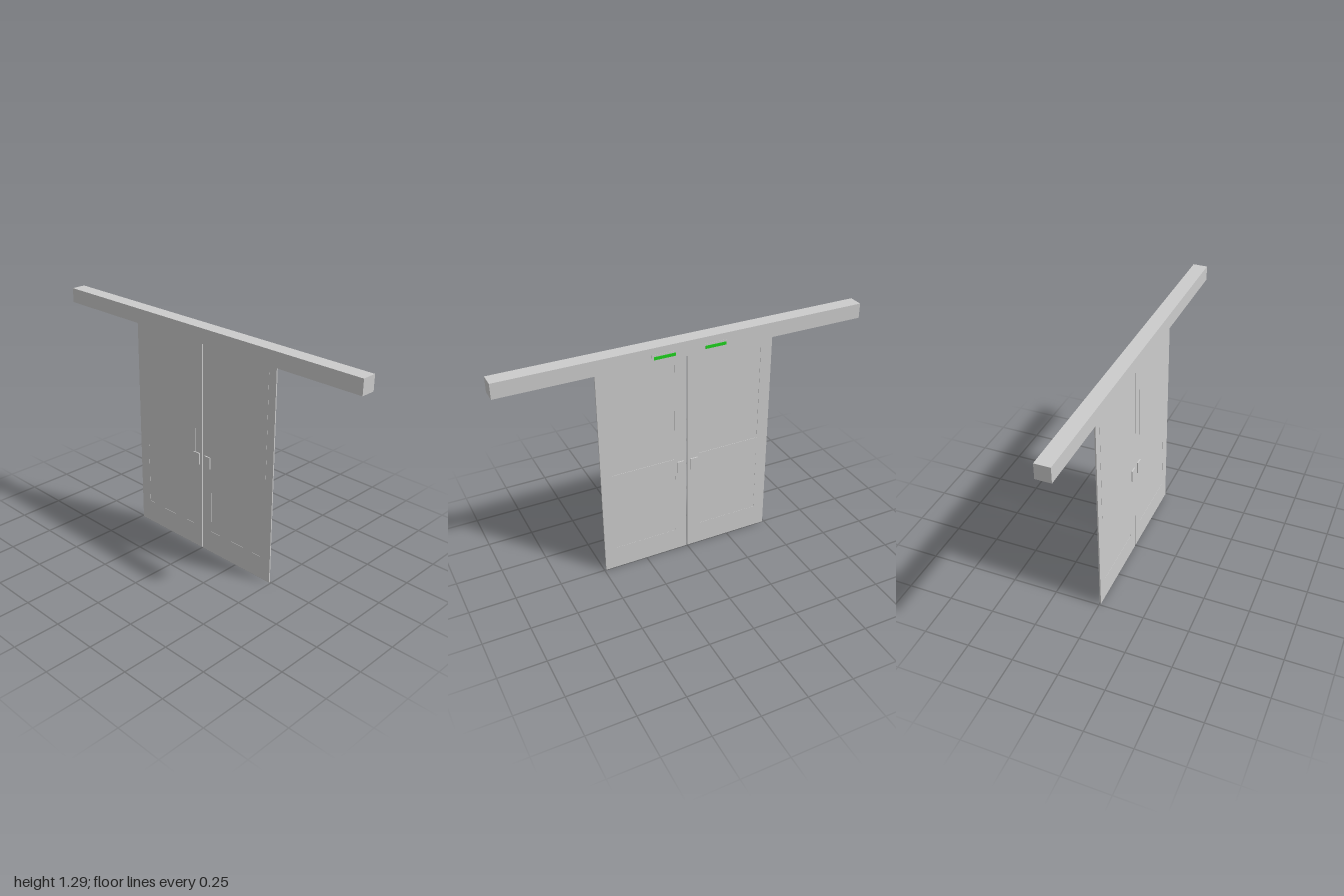
import * as THREE from 'three';

const grey = new THREE.MeshStandardMaterial({ color: 0xcccccc });
const green = new THREE.MeshStandardMaterial({ color: 0x1fd01f });

// Box given by its limits on each axis
function box(name, [x0, x1], [y0, y1], [z0, z1], material = grey) {
  const mesh = new THREE.Mesh(new THREE.BoxGeometry(x1 - x0, y1 - y0, z1 - z0), material);
  mesh.position.set((x0 + x1) / 2, (y0 + y1) / 2, (z0 + z1) / 2);
  mesh.name = name;
  return mesh;
}

function rectangle(path, [u0, u1], [v0, v1]) {
  path.moveTo(u0, v0);
  path.lineTo(u1, v0);
  path.lineTo(u1, v1);
  path.lineTo(u0, v1);
  path.closePath();
  return path;
}

// One leaf; side is +1 or -1 along z
function doorLeaf(side) {
  const leaf = new THREE.Group();
  leaf.name = side > 0 ? 'frontDoorLeaf' : 'rearDoorLeaf';
  const span = (a, b) => (side > 0 ? [a, b] : [-b, -a]);

  // Stiles and rails with a window opening and a lower panel opening
  const shape = rectangle(new THREE.Shape(), span(0.003, 0.49), [0, 1.206]);
  for (const height of [[0.13, 0.49], [0.595, 1.15]]) {
    shape.holes.push(rectangle(new THREE.Path(), span(0.07, 0.425), height));
  }
  const geometry = new THREE.ExtrudeGeometry(shape, { depth: 0.007, bevelEnabled: false });
  geometry.rotateY(-Math.PI / 2);
  const frame = new THREE.Mesh(geometry, grey);
  frame.name = 'doorFrame';
  leaf.add(frame);

  // Recessed lower panel and window pane set in from the -x face
  leaf.add(box('lowerPanel', [-0.006, -0.001], [0.13, 0.49], span(0.07, 0.425)));
  leaf.add(box('windowPane', [-0.0075, -0.002], [0.595, 1.15], span(0.07, 0.425)));
  leaf.add(box('windowBacking', [-0.008, -0.0065], [0.56, 1.155], span(0.05, 0.445)));

  // Pull handle passing through both faces
  leaf.add(box('handle', [-0.014, 0.007], [0.508, 0.575], span(0.02, 0.06)));
  return leaf;
}

export function createModel() {
  const model = new THREE.Group();
  model.name = 'slidingDoor';

  model.add(box('trackHousing', [-0.042, 0.038], [1.205, 1.286], [-1, 1]));

  for (const side of [1, -1]) {
    model.add(doorLeaf(side));

    // Indicator light on the housing
    const light = new THREE.Group();
    light.name = 'indicatorLight';
    const span = (a, b) => (side > 0 ? [a, b] : [-b, -a]);
    light.add(box('lightPlate', [0.036, 0.039], [1.215, 1.25], span(0.08, 0.208)));
    light.add(box('lightBar', [0.037, 0.042], [1.223, 1.239], span(0.082, 0.197), green));
    model.add(light);
  }
  return model;
}
